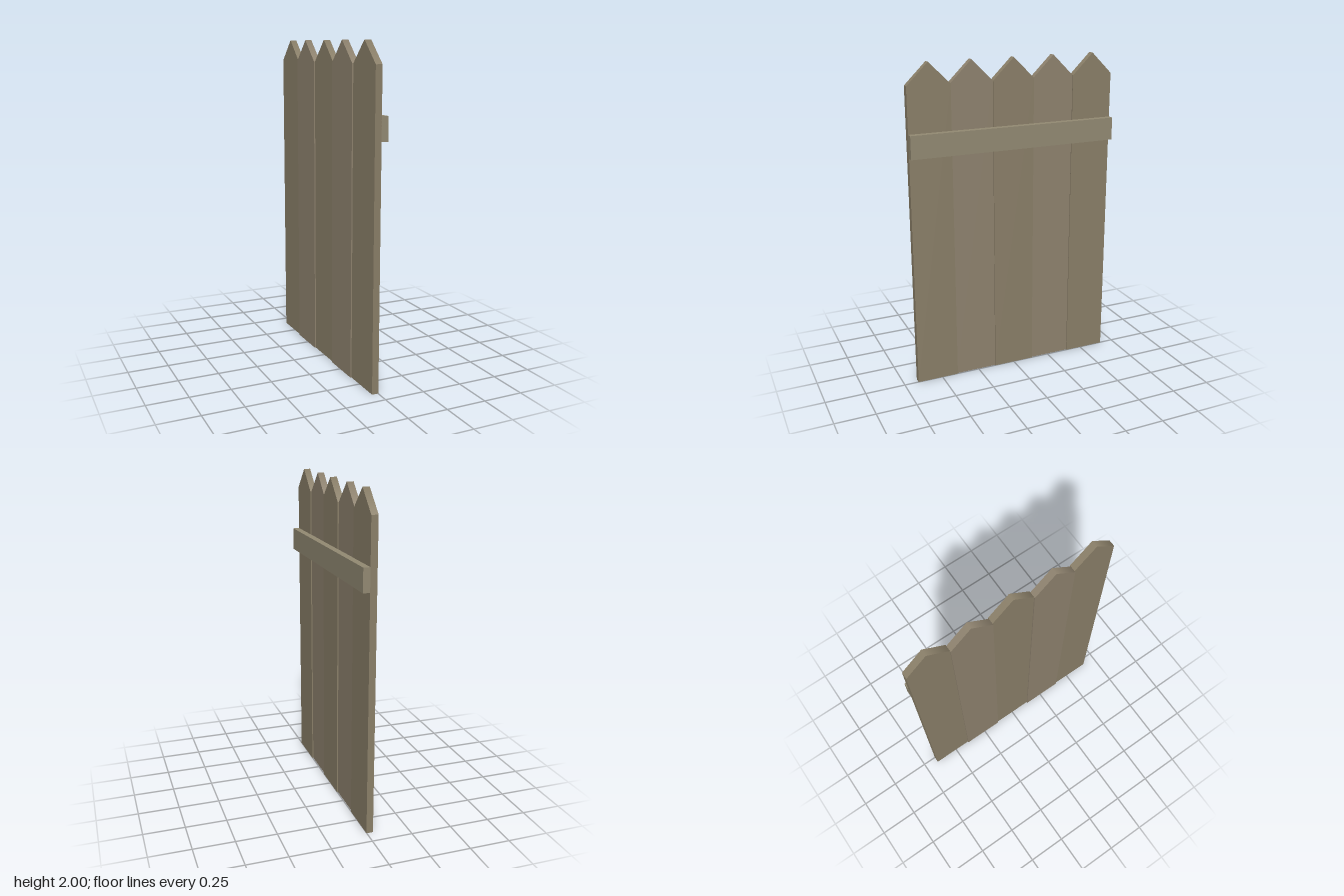
import * as THREE from 'three';

const PLANKS = 5, WIDTH = 0.264, THICK = 0.041, SHOULDER = 1.87, PEAK = 2;

// Pointed plank, centred on z, its inner face on x = 0
function plankGeometry() {
  const w = WIDTH / 2;
  const shape = new THREE.Shape([[-w, 0], [w, 0], [w, SHOULDER], [0, PEAK], [-w, SHOULDER]]
    .map(([x, y]) => new THREE.Vector2(x, y)));
  const geometry = new THREE.ExtrudeGeometry(shape, { depth: THICK, bevelEnabled: false });
  geometry.rotateY(Math.PI / 2).translate(-THICK, 0, 0);
  // Soft shading across the ridge of the point
  const { position, normal } = geometry.attributes;
  for (let i = 0; i < position.count; i++) {
    if (position.getY(i) > PEAK - 0.01 && normal.getY(i) > 0.1) normal.setXYZ(i, 0, 1, 0);
  }
  return geometry;
}

export function createModel() {
  const group = new THREE.Group();
  const geometry = plankGeometry();
  const woods = [0x8b8069, 0x8f836f].map(color => new THREE.MeshStandardMaterial({ color }));

  // Planks, every second one set slightly back
  for (let i = 0; i < PLANKS; i++) {
    const plank = new THREE.Mesh(geometry, woods[i % 2]);
    plank.name = `plank${i + 1}`;
    plank.position.set(i % 2 ? -0.005 : 0.002, 0, (i - (PLANKS - 1) / 2) * WIDTH);
    group.add(plank);
  }

  // Cross rail
  const rail = new THREE.Mesh(
    new THREE.BoxGeometry(0.042, 0.14, PLANKS * WIDTH),
    new THREE.MeshStandardMaterial({ color: 0x938a73 }));
  rail.name = 'crossRail';
  rail.position.set(0.022, 1.525, 0);
  group.add(rail);
  return group;
}
